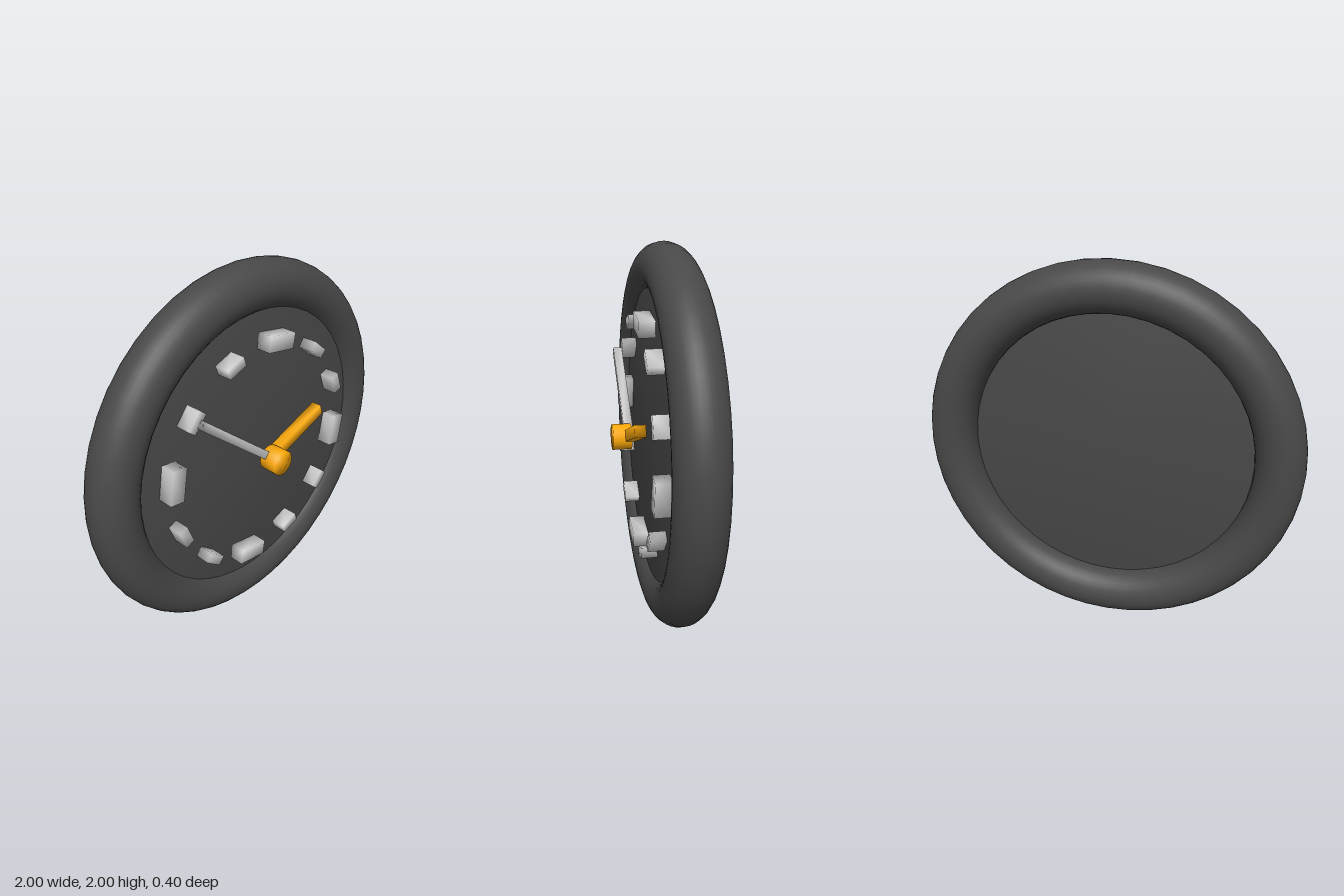
import * as THREE from 'three';
import { mergeVertices } from 'three/addons/utils/BufferGeometryUtils.js';

const dark = new THREE.MeshStandardMaterial({ color: 0x484848 });
const grey = new THREE.MeshStandardMaterial({ color: 0xcccccc });
const orange = new THREE.MeshStandardMaterial({ color: 0xffaa0a });

// Weld the corners so shading runs softly over the edges
function soften(geometry) {
  geometry.deleteAttribute('normal');
  geometry.deleteAttribute('uv');
  const welded = mergeVertices(geometry, 1e-4);
  welded.computeVertexNormals();
  return welded;
}

function add(parent, name, geometry, material) {
  const mesh = new THREE.Mesh(geometry, material);
  mesh.name = name;
  parent.add(mesh);
  return mesh;
}

// Disc facing +z between two depths
function disc(radius, back, front, sides) {
  const g = new THREE.CylinderGeometry(radius, radius, front - back, sides);
  g.rotateX(Math.PI / 2).translate(0, 0, (back + front) / 2);
  return soften(g);
}

// Box spanning x, y and z ranges
function block(x0, x1, y0, y1, z0, z1) {
  const g = new THREE.BoxGeometry(x1 - x0, y1 - y0, z1 - z0);
  g.translate((x0 + x1) / 2, (y0 + y1) / 2, (z0 + z1) / 2);
  return soften(g);
}

const clockwise = (degrees) => -THREE.MathUtils.degToRad(degrees);

export function createModel() {
  const clock = new THREE.Group();
  clock.name = 'wallClock';
  const body = new THREE.Group();
  body.name = 'clockBody';
  body.position.y = 1;
  clock.add(body);

  // Round rim and the dial set inside it
  add(body, 'rim', new THREE.TorusGeometry(0.873, 0.127, 32, 48), dark).position.z = -0.073;
  add(body, 'dial', disc(0.8, -0.073, 0.003, 48), dark);

  // Twelve hour markers, every third one larger, the whole ring turned 10 degrees
  const markers = new THREE.Group();
  markers.name = 'hourMarkers';
  body.add(markers);
  for (let i = 0; i < 12; i++) {
    const large = i % 3 === 0;
    const l = large ? 0.09 : 0.056;
    const w = large ? 0.042 : 0.027;
    const marker = add(markers, large ? 'largeMarker' : 'smallMarker',
      block(-l, l, 0.615 - w, 0.615 + w, 0, 0.086), grey);
    marker.rotation.z = clockwise(10 + 30 * i);
  }

  // Hands, pointing up before they are turned
  add(body, 'minuteHand', block(-0.022, 0.022, 0, 0.6, 0.086, 0.134), grey).rotation.z = clockwise(-50);
  add(body, 'hourHand', block(-0.03, 0.03, 0, 0.41, 0.08, 0.136), orange).rotation.z = clockwise(70);

  // Cap over the hand pivot
  add(body, 'hub', disc(0.068, 0.1, 0.2, 32), orange);

  return clock;
}
